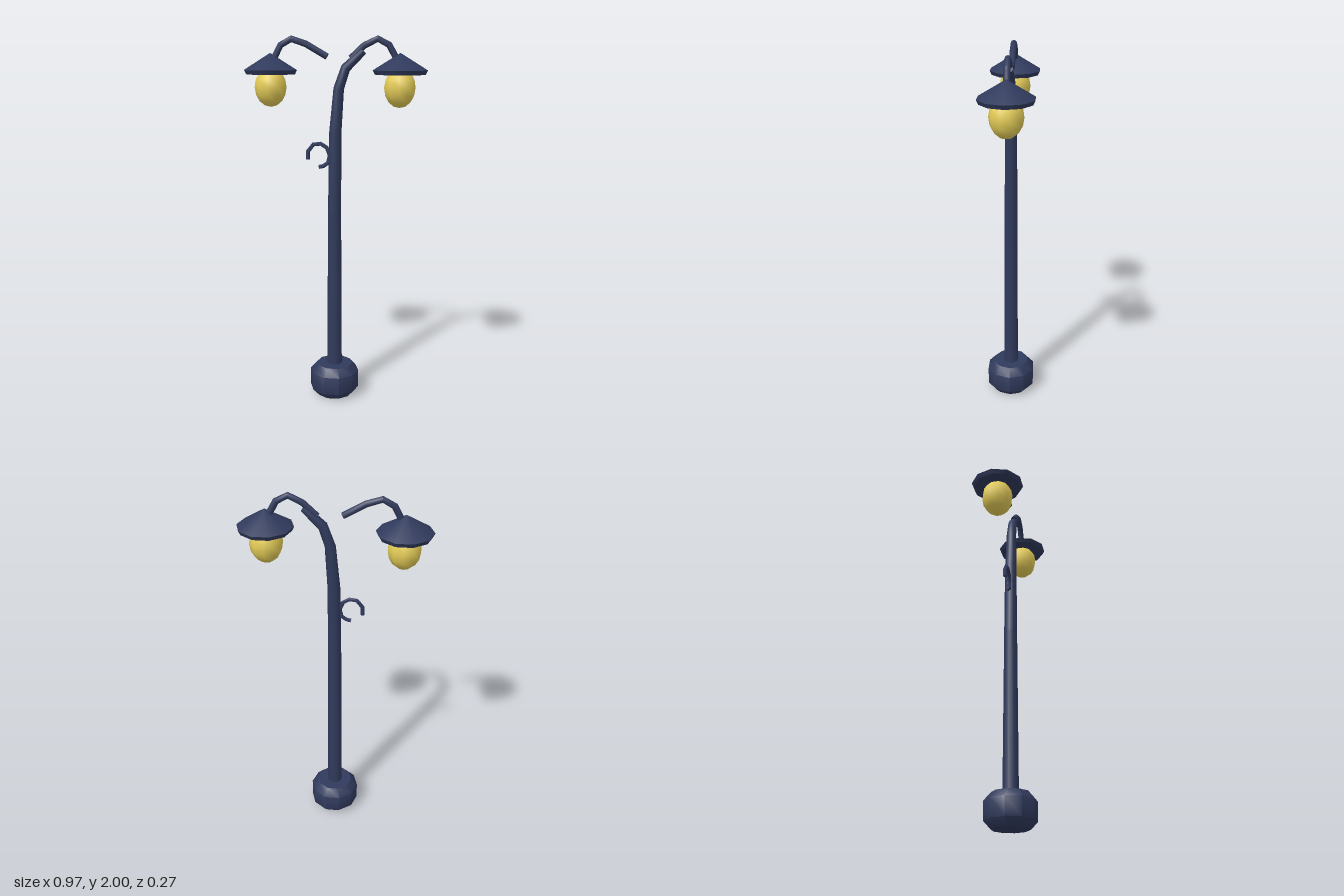
import * as THREE from 'three';
import { toCreasedNormals } from 'three/addons/utils/BufferGeometryUtils.js';

const iron = new THREE.MeshStandardMaterial({ color: 0x303a5c });
iron.name = 'dark blue iron';
const glow = new THREE.MeshStandardMaterial({ color: 0xe5cd58 });
glow.name = 'warm yellow glass';

function part(name, geometry, material) {
  const mesh = new THREE.Mesh(geometry, material);
  mesh.name = name;
  return mesh;
}

// Capped, tapering tube along a planar path of [x, y, radius] stations
function sweep(stations, sides) {
  const pos = [], index = [], last = stations.length - 1;
  stations.forEach(([x, y, r], i) => {
    const p = stations[Math.max(i - 1, 0)], q = stations[Math.min(i + 1, last)];
    const len = Math.hypot(q[0] - p[0], q[1] - p[1]);
    const nx = -(q[1] - p[1]) / len, ny = (q[0] - p[0]) / len;
    for (let j = 0; j < sides; j++) {
      const a = (j / sides) * Math.PI * 2;
      pos.push(x + nx * r * Math.cos(a), y + ny * r * Math.cos(a), r * Math.sin(a));
    }
  });
  const start = pos.length / 3, end = start + 1;
  for (const s of [stations[0], stations[last]]) pos.push(s[0], s[1], 0);
  for (let j = 0; j < sides; j++) {
    const k = (j + 1) % sides;
    for (let i = 0; i < last; i++) {
      const a = i * sides + j, b = i * sides + k;
      index.push(a, b, a + sides, b, b + sides, a + sides);
    }
    index.push(start, k, j, end, last * sides + j, last * sides + k);
  }
  const g = new THREE.BufferGeometry();
  g.setAttribute('position', new THREE.Float32BufferAttribute(pos, 3));
  g.setIndex(index);
  return toCreasedNormals(g, 0.9);
}

// Ten-sided turned shape with a corner pointing along x
function turned(profile) {
  const g = new THREE.LatheGeometry(profile.map(([r, y]) => new THREE.Vector2(r, y)), 10);
  g.rotateY(Math.PI / 2);
  return toCreasedNormals(g, 0.8);
}

// Shade with a rim and an egg-shaped bulb
function lamp(name, x) {
  const group = new THREE.Group();
  group.name = name;
  const shade = turned([[0, 1.802], [0.132, 1.802], [0.143, 1.824], [0, 1.912]]);
  const bulb = new THREE.SphereGeometry(0.085, 10, 8);
  bulb.scale(1, 1.22, 1).rotateY(Math.PI / 2).translate(0, 1.735, 0);
  group.add(part('shade', shade, iron), part('bulb', bulb, glow));
  group.position.x = x;
  return group;
}

export function createModel() {
  const model = new THREE.Group();
  model.name = 'streetLamp';

  // Chamfered foot
  model.add(part('base', turned([
    [0, 0], [0.1, 0], [0.137, 0.04], [0.137, 0.14], [0.1, 0.182], [0, 0.182],
  ]), iron));

  // Pole that leans over at the top
  model.add(part('pole', sweep([
    [0, 0.15, 0.042], [0, 1.08, 0.036], [0.004, 1.5, 0.033],
    [0.022, 1.73, 0.028], [0.058, 1.835, 0.026], [0.15, 1.922, 0.02],
  ], 10), iron));

  // Lamp arms
  const r = 0.017;
  model.add(part('leftArm', sweep([
    [0.085, 1.885, r], [0.155, 1.95, r], [0.225, 1.983, r],
    [0.283, 1.952, r], [0.318, 1.89, r], [0.325, 1.86, r],
  ], 8), iron));
  model.add(part('rightArm', sweep([
    [-0.04, 1.893, r], [-0.15, 1.957, r], [-0.228, 1.983, r],
    [-0.285, 1.952, r], [-0.318, 1.89, r], [-0.325, 1.86, r],
  ], 8), iron));

  // Lamps
  model.add(lamp('leftLamp', 0.342), lamp('rightLamp', -0.342));

  // Curled hook on the pole
  const curl = [
    [-0.145, 1.352], [-0.145, 1.395], [-0.115, 1.433], [-0.075, 1.438], [-0.042, 1.417],
    [-0.026, 1.375], [-0.036, 1.335], [-0.06, 1.318], [-0.085, 1.312],
  ];
  model.add(part('hook', sweep(curl.map(([x, y]) => [x, y, 0.011]), 6), iron));

  return model;
}
